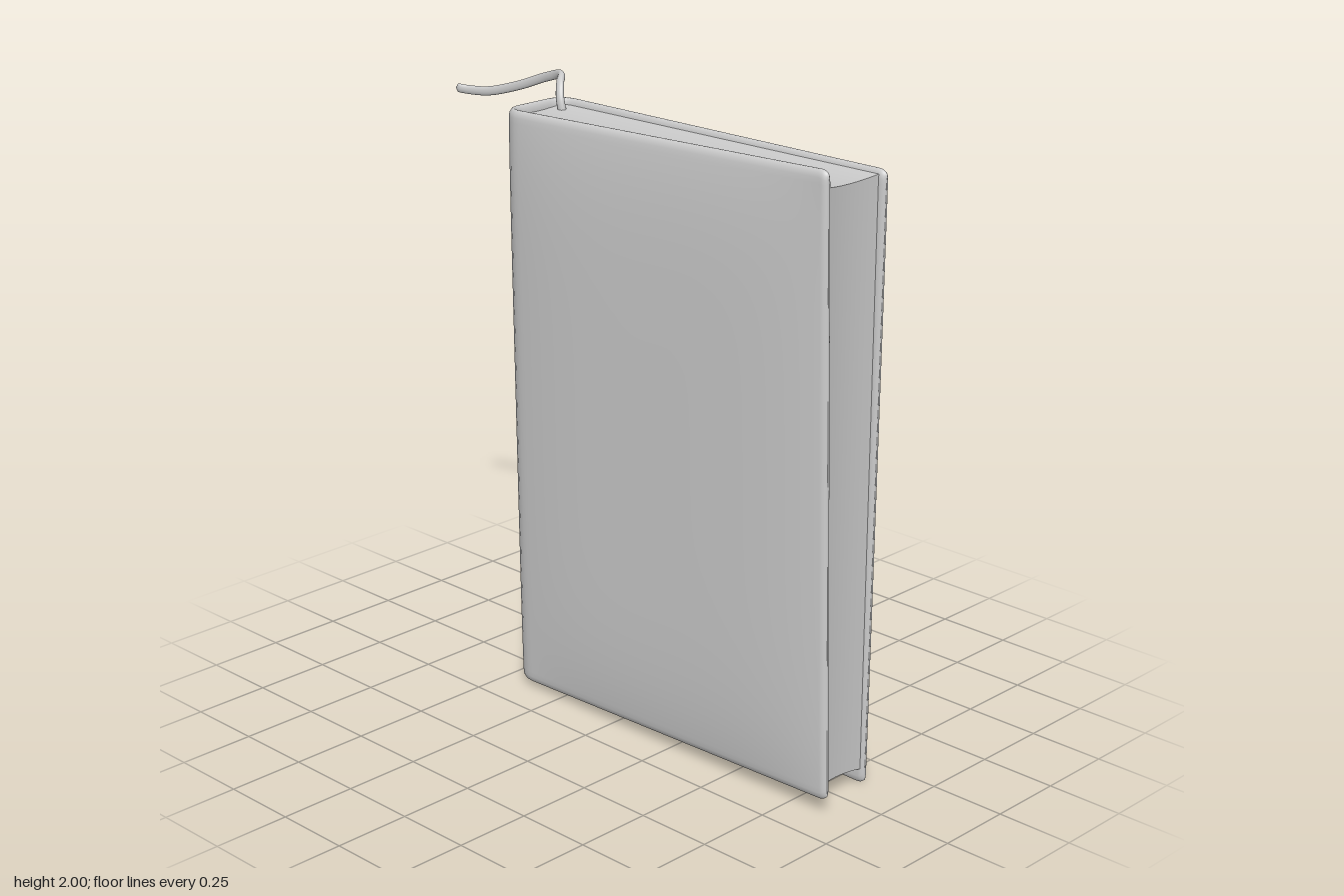
import * as THREE from 'three';
import { mergeVertices } from 'three/addons/utils/BufferGeometryUtils.js';

const { lerp, clamp } = THREE.MathUtils;
const material = new THREE.MeshStandardMaterial({ color: 0xcccccc, side: THREE.DoubleSide });

function addMesh(group, name, geometry) {
  const mesh = new THREE.Mesh(geometry, material);
  mesh.name = name;
  group.add(mesh);
}

// Moves every vertex of a geometry by a rule (x, y, z, index) => [x, y, z]
function reshape(geometry, rule) {
  const p = geometry.attributes.position;
  for (let i = 0; i < p.count; i++) p.setXYZ(i, ...rule(p.getX(i), p.getY(i), p.getZ(i), i));
  return geometry;
}

function smooth(geometry) {
  geometry.deleteAttribute('uv');
  geometry.deleteAttribute('normal');
  const merged = mergeVertices(geometry, 1e-5);
  merged.computeVertexNormals();
  return merged;
}

// Rounded falloff close to an edge: 1 inside, shrinking towards the rim
const rim = (d, r) => Math.max(0.25, Math.sqrt(1 - Math.pow(1 - clamp(d / r, 0, 1), 2)));

// Slightly skewed book: f runs spine to fore edge, g back to front, h bottom to top
function place(f, g, h) {
  const left = lerp(-0.435, -0.462, h);
  const right = lerp(lerp(0.838, 0.85, h), lerp(0.89, 0.838, h), g);
  const bottom = lerp(lerp(0.015, 0.0, f), lerp(0.018, 0.05, f), g);
  const top = lerp(1.92, lerp(1.92, 1.96, f), g);
  return [lerp(left, right, f), lerp(bottom, top, h)];
}

// Cover: one padded sheet wrapped around the spine in plan (x, z)
function coverGeometry() {
  const path = new THREE.Path();
  path.moveTo(0.86, -0.118);
  path.lineTo(-0.4, -0.118);
  path.quadraticCurveTo(-0.46, -0.118, -0.46, -0.06);
  path.lineTo(-0.46, 0.06);
  path.quadraticCurveTo(-0.46, 0.118, -0.4, 0.118);
  path.lineTo(0.86, 0.118);
  const length = path.getLength();
  const cache = new Map();
  const sample = (t) => {
    const key = t.toFixed(6);
    if (!cache.has(key)) cache.set(key, [path.getPointAt(t), path.getTangentAt(t)]);
    return cache.get(key);
  };

  const box = new THREE.BoxGeometry(2, 2, 2, 240, 44, 4);
  return smooth(reshape(box, (bx, by, w) => {
    const s = Math.sin(bx * Math.PI / 2);
    const v = Math.sin(by * Math.PI / 2);
    const [c, t] = sample(clamp((s + 1) / 2, 0, 1));
    const f = clamp((c.x + 0.46) / 1.32, 0, 1);
    const g = clamp((c.y + 0.118) / 0.236, 0, 1);

    // Padding swells the outside, rims are rounded
    const swell = 0.027 * (1 - Math.pow(2 * f - 1, 4)) * (1 - Math.pow(v, 6));
    const round = rim((1 - Math.abs(v)) * 0.95, 0.02) * rim((1 - Math.abs(s)) * length / 2, 0.02);
    const offset = w * 0.013 * round + (w > 0 ? w * swell : 0);

    // Rounded fore-edge corners
    const k = clamp((f - 0.975) / 0.025, 0, 1);
    const inset = 0.02 * (1 - Math.sqrt(1 - k * k));
    const [x, y] = place(f, g, (v + 1) / 2);
    return [x - t.y * offset, y - v * inset, c.y + t.x * offset];
  }));
}

// Page block: set back from the cover rims, with a slight hollow at top and bottom
function pagesGeometry() {
  const box = new THREE.BoxGeometry(2, 2, 2, 8, 12, 10);
  reshape(box, (u, v, w) => {
    const f = lerp(0.01, 0.985, (u + 1) / 2);
    const h = lerp(0.022, 0.99, (v + 1) / 2);
    const [x, y] = place(f, 0.15, h);
    const hollow = 0.008 * (1 - w * w);
    return [x - (u > 0 ? u * hollow : 0), y - v * hollow, w * 0.106];
  });
  box.computeVertexNormals();
  return box;
}

// Ribbon: a flattened tube with tapered, closed ends
function ribbonGeometry() {
  const curve = new THREE.CatmullRomCurve3([
    [-0.4, 1.87, -0.065], [-0.415, 1.93, -0.065], [-0.435, 1.97, -0.085],
    [-0.465, 1.986, -0.118], [-0.54, 1.967, -0.131], [-0.66, 1.922, -0.122],
    [-0.78, 1.888, -0.1], [-0.85, 1.884, -0.08], [-0.893, 1.888, -0.06],
  ].map((p) => new THREE.Vector3(...p)));
  const segments = 90, sides = 12;
  const tube = new THREE.TubeGeometry(curve, segments, 0.015, sides);
  return smooth(reshape(tube, (x, y, z, i) => {
    const t = Math.floor(i / (sides + 1)) / segments;
    const c = curve.getPointAt(t);
    const end = t === 0 || t === 1 ? 0 : rim(Math.min(t, 1 - t), 0.02);
    const flat = lerp(0.9, 0.4, clamp(t * 3, 0, 1));
    return [c.x + (x - c.x) * end, c.y + (y - c.y) * end, c.z + (z - c.z) * end * flat];
  }));
}

export function createModel() {
  const book = new THREE.Group();
  book.name = 'book';
  addMesh(book, 'cover', coverGeometry());
  addMesh(book, 'pages', pagesGeometry());
  addMesh(book, 'ribbonBookmark', ribbonGeometry());
  return book;
}
